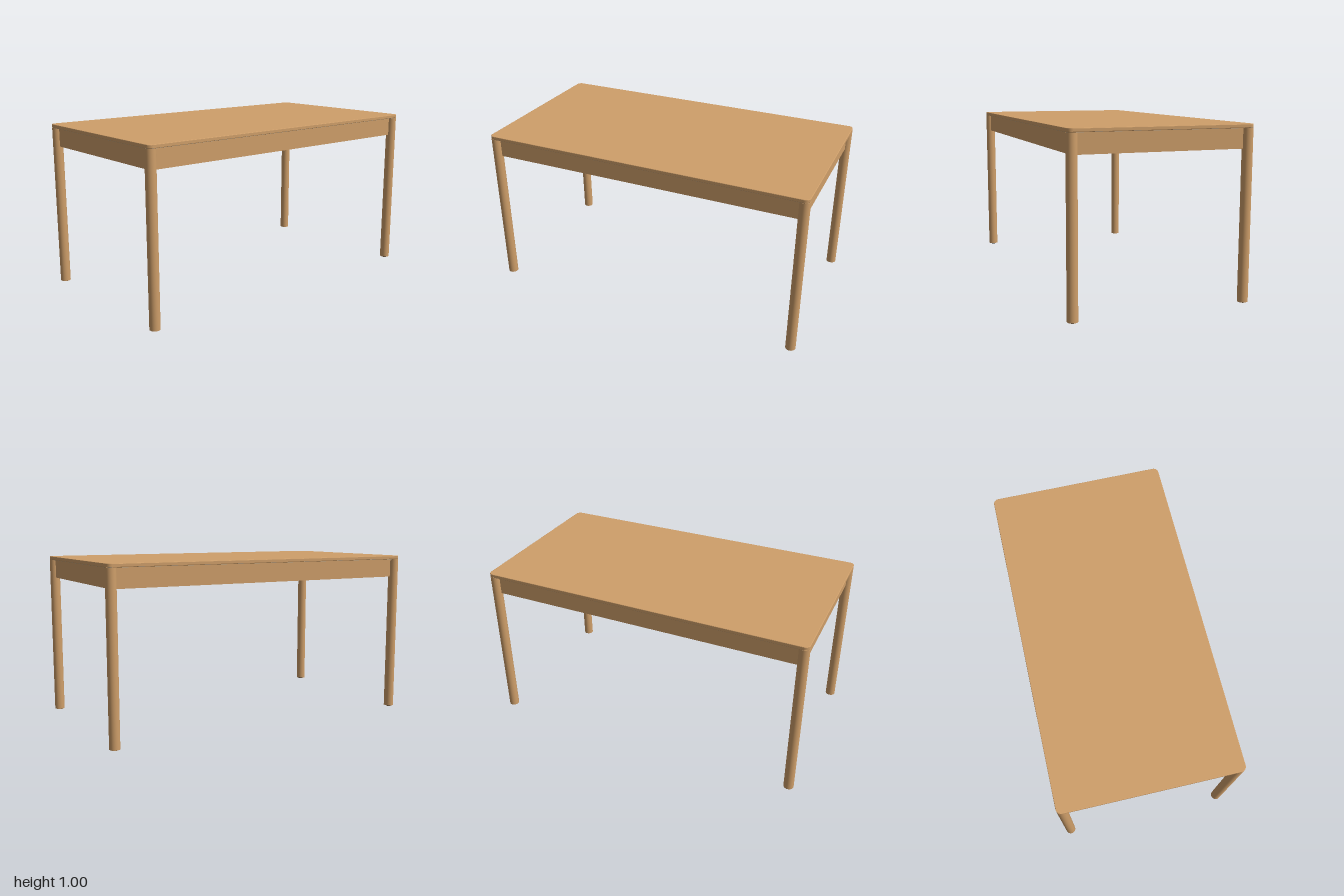
import * as THREE from 'three';

const HX = 1, HZ = 0.532;            // tabletop half sizes
const LX = 0.97, LZ = 0.502;         // leg centres
const LEG_R = 0.03, UNDER = 0.978, APRON_BOTTOM = 0.865;

const wood = new THREE.MeshStandardMaterial({ color: 0xcf9f6a });
wood.name = 'wood';
const backing = new THREE.MeshStandardMaterial({ color: 0xb7a48b });
backing.name = 'backing';
const rubber = new THREE.MeshStandardMaterial({ color: 0x37332f });
rubber.name = 'rubber';

function roundedRect(hx, hz, r) {
  const s = new THREE.Shape();
  s.absarc(hx - r, hz - r, r, 0, Math.PI / 2);
  s.absarc(-hx + r, hz - r, r, Math.PI / 2, Math.PI);
  s.absarc(-hx + r, -hz + r, r, Math.PI, Math.PI * 1.5);
  s.absarc(hx - r, -hz + r, r, Math.PI * 1.5, Math.PI * 2);
  s.closePath();
  return s;
}

// Horizontal slab with rounded corners between two heights
function slab(hx, hz, r, y0, y1, bevel) {
  const g = new THREE.ExtrudeGeometry(roundedRect(hx - bevel, hz - bevel, r), {
    depth: y1 - y0 - 2 * bevel, curveSegments: 10, bevelEnabled: bevel > 0,
    bevelThickness: bevel, bevelSize: bevel, bevelSegments: 2,
  });
  g.rotateX(-Math.PI / 2);
  g.translate(0, y0 + bevel, 0);
  return g;
}

function add(parent, name, geometry, material, x = 0, y = 0, z = 0) {
  const m = new THREE.Mesh(geometry, material);
  m.name = name;
  m.position.set(x, y, z);
  parent.add(m);
  return m;
}

// Apron board: wooden outside and plain backing inside, local +z faces out
function apron(name, length) {
  const g = new THREE.Group();
  g.name = name;
  const h = UNDER - APRON_BOTTOM, y = APRON_BOTTOM + h / 2;
  add(g, 'apronFace', new THREE.BoxGeometry(length, h, 0.016), wood, 0, y, -0.008);
  add(g, 'apronBacking', new THREE.BoxGeometry(length, h, 0.006), backing, 0, y, -0.019);
  return g;
}

// Corner bracket: diagonal plates, end tabs and bolts, local +z points to the corner
function bracket() {
  const g = new THREE.Group();
  g.name = 'cornerBracket';
  for (const y of [-0.022, 0.022]) {
    add(g, 'bracketPlate', new THREE.BoxGeometry(0.11, 0.022, 0.006), backing, 0, y, 0);
    for (const s of [-1, 1]) {
      const tab = add(g, 'bracketTab', new THREE.BoxGeometry(0.04, 0.022, 0.005), backing, s * 0.068, y, -0.014);
      tab.rotation.y = s * Math.PI / 4;
    }
  }
  add(g, 'bracketCentre', new THREE.BoxGeometry(0.035, 0.03, 0.006), backing);
  const bolt = new THREE.CylinderGeometry(0.006, 0.006, 0.07, 12).rotateX(Math.PI / 2);
  for (const y of [-0.022, 0.022]) add(g, 'bolt', bolt, backing, 0, y, 0.02);
  return g;
}

export function createModel() {
  const table = new THREE.Group();
  table.name = 'table';

  // Tabletop and its backing sheet
  add(table, 'tabletop', slab(HX, HZ, 0.028, UNDER + 0.001, 1, 0.003), wood);
  add(table, 'tabletopUnderside', slab(HX - 0.003, HZ - 0.003, 0.028, UNDER, UNDER + 0.002, 0), backing);

  // Aprons on all four sides
  for (const s of [1, -1]) {
    const long = apron('longApron', 2 * LX);
    long.position.z = s * (LZ + 0.003);
    long.rotation.y = s > 0 ? 0 : Math.PI;
    const short = apron('shortApron', 2 * LZ);
    short.position.x = s * (LX + 0.003);
    short.rotation.y = s * Math.PI / 2;
    table.add(long, short);
  }

  // Legs, feet and brackets at the four corners
  const legH = UNDER - 0.006;
  const legGeo = new THREE.CylinderGeometry(LEG_R, LEG_R, legH, 40);
  const footGeo = new THREE.CylinderGeometry(0.016, 0.016, 0.008, 24);
  for (const sx of [1, -1]) for (const sz of [1, -1]) {
    add(table, 'leg', legGeo, wood, sx * LX, 0.006 + legH / 2, sz * LZ);
    add(table, 'foot', footGeo, rubber, sx * LX, 0.004, sz * LZ);
    const b = bracket();
    b.position.set(sx * (LX - 0.064), 0.922, sz * (LZ - 0.064));
    b.rotation.y = Math.atan2(sx, sz);
    table.add(b);
  }
  return table;
}
